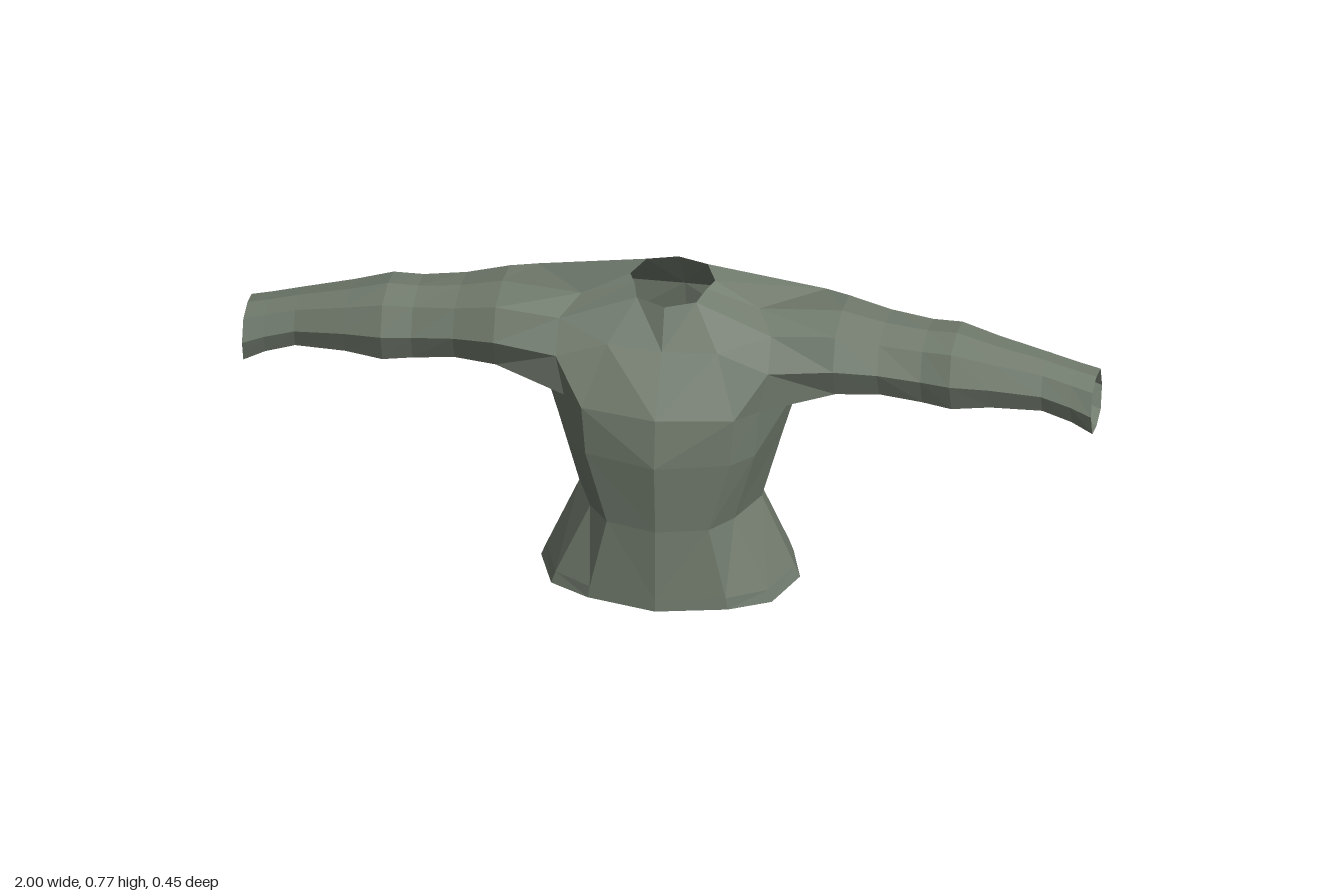
import * as THREE from 'three';

// Half cross-sections of the body: height, then (x, z) from front centre to back centre
const BODY = [
  [0, [[0, .215], [.165, .177], [.26, .125], [.305, 0], [.27, -.115], [.17, -.165], [0, -.172]]],
  [.03, [[0, .214], [.16, .177], [.25, .123], [.293, 0], [.26, -.112], [.165, -.152], [0, -.158]]],
  [.21, [[0, .21], [.12, .178], [.17, .112], [.215, 0], [.19, -.082], [.12, -.115], [0, -.12]]],
  [.39, [[0, .228], [.17, .18], [.22, .125], [.265, 0], [.25, -.12], [.17, -.185], [0, -.195]]],
  [.51, [[0, .211], [.18, .178], [.23, .125], [.3, 0], [.29, -.13], [.2, -.205], [0, -.227]]],
];

// Sleeve sections: x, bottom, top, back, front
const SLEEVE = [
  [.4, .528, .713, -.155, .105],
  [.5, .528, .686, -.145, .08],
  [.6, .512, .675, -.135, .07],
  [.67, .505, .68, -.128, .08],
  [.76, .515, .655, -.112, .065],
  [.88, .511, .625, -.1, .045],
  [.95, .49, .608, -.096, .05],
  [1, .465, .598, -.095, .057],
];

// Octagon section: top, front-top, front, front-bottom, bottom, back-bottom, back, back-top
const OCTAGON = [[0, 1], [.75, .83], [1, 0], [.75, -.83], [0, -1], [-.75, -.83], [-1, 0], [-.75, .83]];

const sleeveRing = ([x, bottom, top, back, front]) => OCTAGON.map(([u, v]) => [
  x,
  (top + bottom) / 2 + v * (top - bottom) / 2,
  (front + back) / 2 + u * (front - back) / 2,
]);

// Join two rings of points with quads
function bridge(faces, a, b, closed) {
  const n = a.length;
  for (let i = 0; i < (closed ? n : n - 1); i++) {
    const j = (i + 1) % n;
    faces.push([a[i], a[j], b[j], b[i]]);
  }
}

// Flat-sided mesh from polygons; each is fanned into triangles, optionally mirrored in x
function makeMesh(name, faces, material, sides) {
  const positions = [];
  for (const side of sides) {
    for (const face of faces) {
      for (let i = 1; i < face.length - 1; i++) {
        const tri = side > 0 ? [face[0], face[i], face[i + 1]] : [face[0], face[i + 1], face[i]];
        for (const [x, y, z] of tri) positions.push(x * side, y, z);
      }
    }
  }
  const geometry = new THREE.BufferGeometry();
  geometry.setAttribute('position', new THREE.Float32BufferAttribute(positions, 3));
  geometry.computeVertexNormals();
  const mesh = new THREE.Mesh(geometry, material);
  mesh.name = name;
  return mesh;
}

export function createModel() {
  const group = new THREE.Group();
  group.name = 'shirt';
  const fabric = new THREE.MeshStandardMaterial({ color: 0x727c6e, side: THREE.DoubleSide, flatShading: true });
  fabric.name = 'grey green fabric';

  // Body, from the open hem to the underarms
  const rings = BODY.map(([y, points]) => points.map(([x, z]) => [x, y, z]));
  const bodyFaces = [];
  for (let i = 0; i < rings.length - 1; i++) bridge(bodyFaces, rings[i], rings[i + 1], false);
  group.add(makeMesh('body', bodyFaces, fabric, [1, -1]));

  // Armhole, sharing its lower points with the body
  const T = rings[rings.length - 1];
  const A = [
    [.21, .714, 0], [.25, .685, .075], [.25, .61, .122],
    T[2], T[3], T[4],
    [.335, .62, -.17], [.34, .685, -.163],
  ];

  // Chest, shoulders and upper back, closing in to the open neck
  const N = [[0, .745, .085], [.07, .748, .055], [.085, .754, 0], [.1, .76, -.03], [.072, .767, -.09], [0, .77, -.108]];
  const chest = [[0, .645, .12], [.13, .65, .115]];
  const back = [[0, .645, -.2], [.2, .645, -.198]];
  const yoke = [
    [T[0], T[1], chest[1], chest[0]],
    [T[1], A[3], A[2]],
    [T[1], A[2], chest[1]],
    [chest[0], chest[1], N[1], N[0]],
    [chest[1], A[2], A[1]],
    [chest[1], A[1], N[1]],
    [N[1], A[1], N[2]],
    [A[1], A[0], N[2]],
    [N[2], A[0], N[3]],
    [N[3], A[0], A[7]],
    [N[3], A[7], N[4]],
    [N[4], A[7], back[1]],
    [N[4], back[1], back[0], N[5]],
    [A[7], A[6], back[1]],
    [A[6], T[4], T[5]],
    [A[6], T[5], back[1]],
    [T[5], T[6], back[0], back[1]],
  ];
  group.add(makeMesh('shoulders', yoke, fabric, [1, -1]));

  // Sleeves, open at the cuffs
  const arm = [A, ...SLEEVE.map(sleeveRing)];
  const sleeveFaces = [];
  for (let i = 0; i < arm.length - 1; i++) bridge(sleeveFaces, arm[i], arm[i + 1], true);
  group.add(makeMesh('leftSleeve', sleeveFaces, fabric, [1]));
  group.add(makeMesh('rightSleeve', sleeveFaces, fabric, [-1]));

  return group;
}
